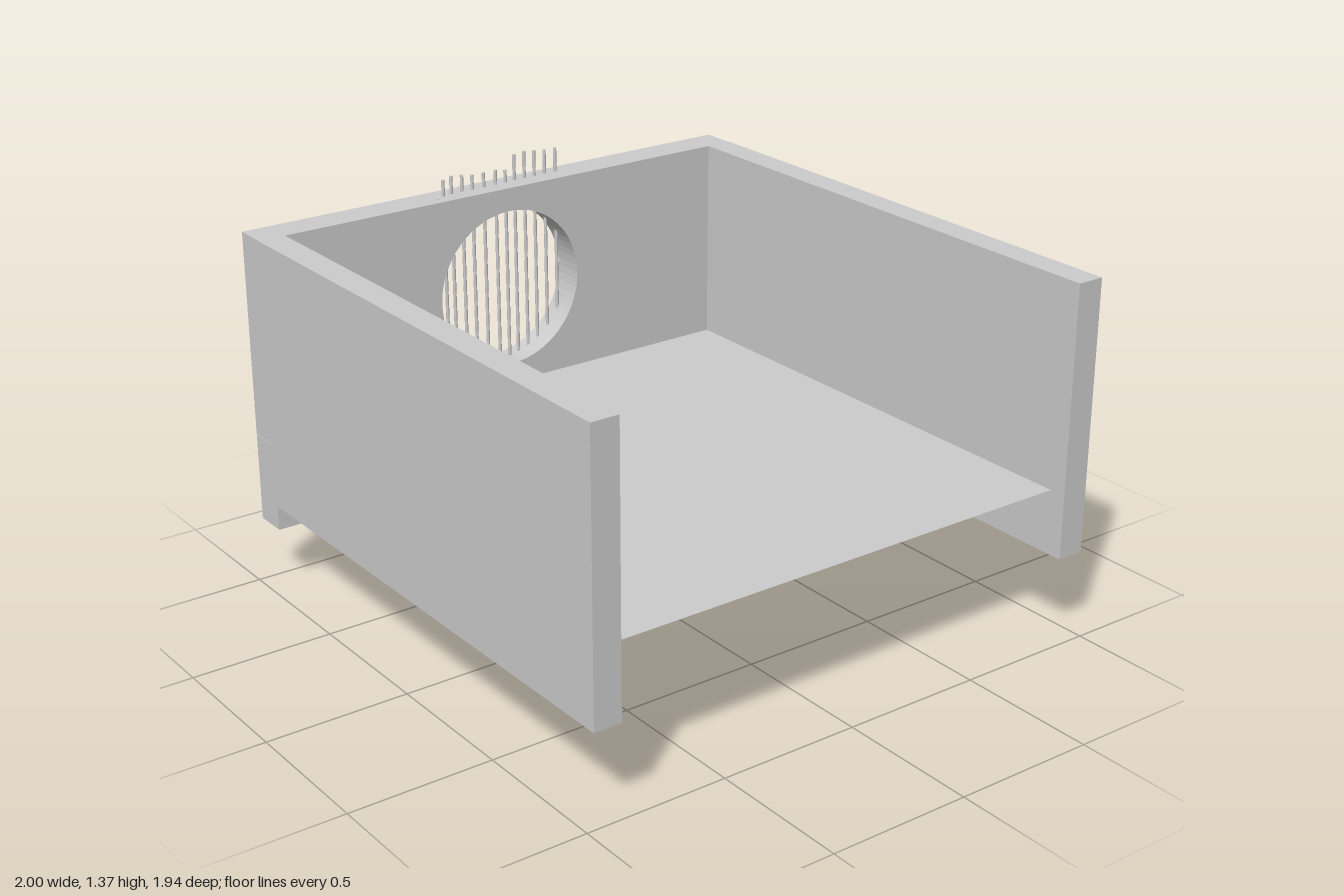
import * as THREE from 'three';

export function createModel() {
  const model = new THREE.Group();
  const mat = new THREE.MeshStandardMaterial({ color: 0xcccccc, flatShading: true });
  const sheetMat = new THREE.MeshStandardMaterial({ color: 0xcccccc, side: THREE.DoubleSide });

  const add = (name, geometry, x, y, z, material = mat) => {
    const mesh = new THREE.Mesh(geometry, material);
    mesh.name = name;
    mesh.position.set(x, y, z);
    model.add(mesh);
    return mesh;
  };

  // End wall with a round window; shape x runs along -z after the turn
  const outline = new THREE.Shape([
    new THREE.Vector2(-0.97, 0.23), new THREE.Vector2(0.968, 0.23),
    new THREE.Vector2(0.968, 1.27), new THREE.Vector2(-0.97, 1.27),
  ]);
  const windowHole = new THREE.Path();
  windowHole.absarc(-0.003, 0.902, 0.285, 0, Math.PI * 2, true);
  outline.holes.push(windowHole);
  const wall = new THREE.ExtrudeGeometry(outline, { depth: 0.12, bevelEnabled: false, curveSegments: 32 });
  wall.rotateY(Math.PI / 2);
  add('windowWall', wall, -1, 0, 0);

  // Two side walls, raised a little above the end wall's foot
  for (const [name, side] of [['frontWall', 1], ['backWall', -1]]) {
    add(name, new THREE.BoxGeometry(1.88, 0.95, 0.097), 0.06, 0.795, side * 0.9235);
  }

  // Thin floor sheet, reaching just through the walls
  const floor = new THREE.PlaneGeometry(1.942, 1.944).rotateX(-Math.PI / 2);
  add('floor', floor, -0.031, 0.547, 0, sheetMat);

  // Window bars: x, z, bottom height
  const bars = [
    [-0.922, 0.269, 0], [-0.939, 0.232, 0.055], [-0.945, 0.196, 0.062], [-0.946, 0.152, 0.057],
    [-0.946, 0.11, 0.05], [-0.946, 0.063, 0.05], [-0.946, 0.014, 0.05], [-0.95, -0.029, 0.042],
    [-0.955, -0.07, 0.09], [-0.955, -0.112, 0.094], [-0.955, -0.154, 0.09],
    [-0.955, -0.198, 0.085], [-0.955, -0.243, 0.085],
  ];
  const barGeometry = new THREE.CylinderGeometry(0.006, 0.006, 1.272, 10);
  bars.forEach(([x, z, bottom], i) => add(`windowBar${i + 1}`, barGeometry, x, bottom + 0.636, z));

  return model;
}
